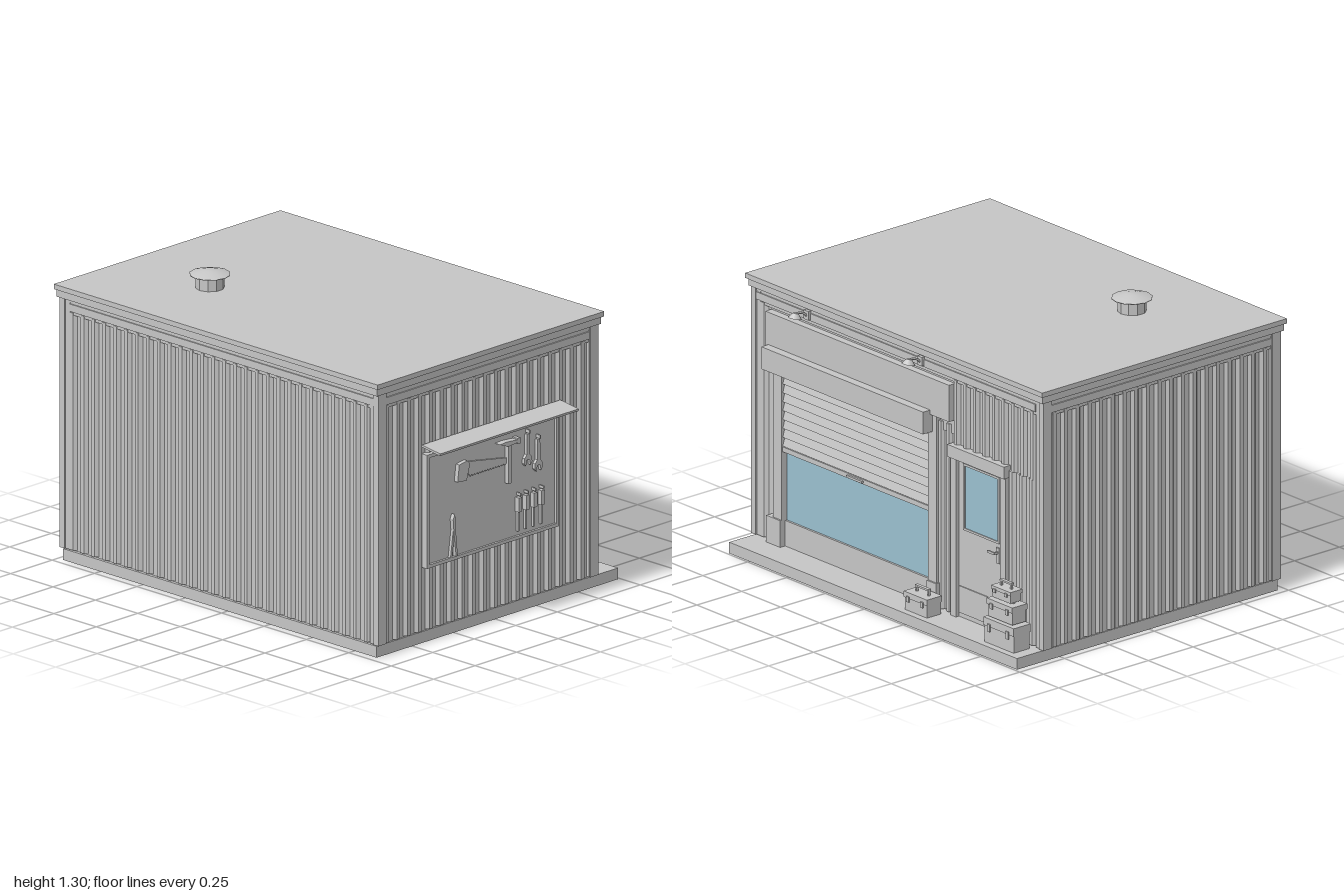
import * as THREE from 'three';

export function createModel() {
  const model = new THREE.Group();
  const grey = new THREE.MeshStandardMaterial({ color: 0xc6c6c6 });
  grey.name = 'light grey';
  const blue = new THREE.MeshStandardMaterial({ color: 0x9bc0d0 });
  blue.name = 'glass blue';

  const add = (name, geo, mat = grey, parent = model) => {
    const m = new THREE.Mesh(geo, mat);
    m.name = name;
    parent.add(m);
    return m;
  };
  // Box given by its bounds
  const box = (name, x0, x1, y0, y1, z0, z1, mat = grey, parent = model) => {
    const m = add(name, new THREE.BoxGeometry(x1 - x0, y1 - y0, z1 - z0), mat, parent);
    m.position.set((x0 + x1) / 2, (y0 + y1) / 2, (z0 + z1) / 2);
    return m;
  };
  const group = (name) => {
    const g = new THREE.Group();
    g.name = name;
    model.add(g);
    return g;
  };

  // Corrugated sheet, ribs facing -z before it is turned by angle
  const sheet = (name, length, y0, y1, x, z, angle) => {
    const n = Math.max(1, Math.round(length / 0.064));
    const p = length / n;
    const shape = new THREE.Shape();
    shape.moveTo(-length / 2, -0.012);
    for (let i = 0; i < n; i++) {
      const u = -length / 2 + i * p;
      [[0, 0], [0.3, 0], [0.5, 0.014], [0.8, 0.014]].forEach(([t, d]) => shape.lineTo(u + t * p, d));
    }
    shape.lineTo(length / 2, 0);
    shape.lineTo(length / 2, -0.012);
    const geo = new THREE.ExtrudeGeometry(shape, { depth: y1 - y0, bevelEnabled: false });
    geo.rotateX(-Math.PI / 2).rotateY(angle);
    add(name, geo).position.set(x, y0, z);
  };

  // Base, core and roof
  box('base', -0.97, 0.88, 0, 0.05, -0.74, 0.715);
  box('core', -0.965, 0.872, 0.05, 1.18, -0.575, 0.7);
  box('friezeBoard', -0.978, 0.888, 1.155, 1.175, -0.6, 0.715);
  box('cornice', -0.99, 0.9, 1.17, 1.203, -0.615, 0.733);
  box('roofSlab', -1, 0.91, 1.203, 1.225, -0.625, 0.74);

  // Corrugated walls
  sheet('frontWall', 1.8, 0.055, 1.11, -0.045, 0.7, Math.PI);
  sheet('rightWall', 1.24, 0.055, 1.11, 0.874, 0.06, -Math.PI / 2);
  sheet('leftWall', 1.24, 0.055, 1.11, -0.964, 0.06, Math.PI / 2);
  sheet('backWallAboveDoor', 0.55, 0.8, 1.11, -0.665, -0.585, 0);
  sheet('backWallBesideDoor', 0.19, 0.055, 0.8, -0.84, -0.585, 0);
  sheet('backWallMiddle', 0.1, 0.055, 0.9, -0.345, -0.585, 0);
  sheet('backWallEnd', 0.09, 0.055, 1.11, 0.82, -0.585, 0);

  // Corner posts: two overlapping boards each
  for (const [x, sx] of [[-0.985, 1], [0.895, -1]]) {
    for (const [z, sz] of [[0.72, -1], [-0.605, 1]]) {
      const b = (name, w, d, e) => {
        const xa = x + sx * e, xb = x + sx * w, za = z + sz * e, zb = z + sz * d;
        box(name, Math.min(xa, xb), Math.max(xa, xb), 0.055, 1.17, Math.min(za, zb), Math.max(za, zb));
      };
      b('cornerPost', 0.03, 0.048, 0);
      b('cornerTrim', 0.055, 0.05, 0.006);
    }
  }

  // Horizontal beams under the cornice
  for (const [y0, y1, d] of [[1.1, 1.16, 0], [1.115, 1.148, 0.006]]) {
    box('frontBeam', -0.93, 0.87, y0, y1, 0.69, 0.712 + d);
    box('backBeam', -0.93, 0.87, y0, y1, -0.597 - d, -0.57);
    box('rightBeam', 0.86, 0.887 + d, y0, y1, -0.555, 0.675);
    box('leftBeam', -0.977 - d, -0.95, y0, y1, -0.555, 0.675);
  }

  // Chimney
  const stem = add('chimneyStem', new THREE.CylinderGeometry(0.062, 0.062, 0.065, 10).toNonIndexed());
  stem.geometry.computeVertexNormals();
  stem.position.set(-0.5, 1.255, 0.31);
  add('chimneyCap', new THREE.LatheGeometry(
    [[0, 0], [0.088, 0], [0.088, 0.004], [0.03, 0.02], [0, 0.021]].map(([r, y]) => new THREE.Vector2(r, y)), 12))
    .position.set(-0.5, 1.283, 0.31);

  // Shop window with half-lowered roller shutter
  const shop = group('shopWindow');
  box('wallBehindSign', -0.4, 0.78, 0.86, 1.11, -0.59, -0.57, grey, shop);
  box('windowGlass', -0.26, 0.69, 0.16, 0.87, -0.582, -0.576, blue, shop);
  box('windowSill', -0.28, 0.71, 0.05, 0.165, -0.592, -0.57, grey, shop);
  box('leftJamb', 0.69, 0.745, 0.05, 0.92, -0.612, -0.57, grey, shop);
  box('rightJamb', -0.305, -0.25, 0.05, 0.92, -0.612, -0.57, grey, shop);
  box('leftPlinth', 0.69, 0.78, 0.05, 0.17, -0.62, -0.57, grey, shop);
  box('rightPlinth', -0.31, -0.25, 0.05, 0.17, -0.62, -0.57, grey, shop);
  const slats = 9, shutterBottom = 0.5, slatStep = 0.04;
  box('shutterBacking', -0.25, 0.69, shutterBottom, 0.87, -0.59, -0.582, grey, shop);
  for (let i = 0; i < slats; i++) {
    const y = shutterBottom + i * slatStep;
    box('shutterSlat', -0.25, 0.69, y, y + slatStep, -0.6, -0.588, grey, shop).rotation.x = 0.3;
  }
  box('shutterBottomRail', -0.25, 0.69, 0.478, 0.5, -0.607, -0.582, grey, shop);
  box('shutterHandle', 0.17, 0.27, 0.484, 0.494, -0.617, -0.605, grey, shop);
  box('shutterHousing', -0.28, 0.76, 0.845, 0.945, -0.665, -0.58, grey, shop);
  box('signBoard', -0.4, 0.78, 0.925, 1.09, -0.625, -0.585, grey, shop);

  // Door
  const door = group('door');
  box('doorPanel', -0.71, -0.42, 0.05, 0.78, -0.59, -0.57, grey, door);
  box('doorGlass', -0.68, -0.47, 0.46, 0.74, -0.594, -0.588, blue, door);
  for (const [x0, x1, y0, y1] of [[-0.69, -0.68, 0.45, 0.75], [-0.47, -0.46, 0.45, 0.75],
    [-0.69, -0.46, 0.45, 0.46], [-0.69, -0.46, 0.74, 0.75]])
    box('doorGlassTrim', x0, x1, y0, y1, -0.598, -0.588, grey, door);
  box('doorFrameLeft', -0.425, -0.39, 0.05, 0.77, -0.608, -0.57, grey, door);
  box('doorFrameRight', -0.745, -0.71, 0.05, 0.77, -0.608, -0.57, grey, door);
  box('doorLintel', -0.75, -0.385, 0.765, 0.82, -0.622, -0.57, grey, door);
  box('kickPlate', -0.7, -0.43, 0.07, 0.19, -0.595, -0.588, grey, door);
  box('handlePlate', -0.69, -0.67, 0.36, 0.43, -0.597, -0.588, grey, door);
  box('handleLever', -0.685, -0.64, 0.405, 0.415, -0.62, -0.612, grey, door);
  box('handleStem', -0.685, -0.677, 0.405, 0.415, -0.62, -0.59, grey, door);

  // Sign lamps on curved arms
  for (const x of [-0.2, 0.53]) {
    const lamp = group('signLamp');
    lamp.position.set(x, 0, 0);
    box('lampMount', -0.015, 0.015, 1.12, 1.16, -0.615, -0.6, grey, lamp);
    const arm = new THREE.QuadraticBezierCurve3(
      new THREE.Vector3(0, 1.135, -0.61), new THREE.Vector3(0, 1.165, -0.635), new THREE.Vector3(0, 1.16, -0.67));
    add('lampArm', new THREE.TubeGeometry(arm, 6, 0.005, 6), grey, lamp);
    const shade = add('lampShade', new THREE.CylinderGeometry(0.012, 0.03, 0.022, 12), grey, lamp);
    shade.position.set(0, 1.152, -0.675);
    shade.rotation.x = 0.25;
  }

  // Toolboxes, three stacked and one by the window
  const toolbox = (x, y, z, w, h, d, handle) => {
    const g = group('toolbox');
    g.position.set(x, y, z);
    const split = h * 0.68;
    box('toolboxBody', -w / 2 + 0.004, w / 2 - 0.004, 0, split, -d / 2 + 0.004, d / 2 - 0.004, grey, g);
    box('toolboxLid', -w / 2, w / 2, split, h, -d / 2, d / 2, grey, g);
    for (const s of [-1, 1])
      box('latch', s * w * 0.3 - 0.008, s * w * 0.3 + 0.008, h * 0.5, h * 0.8, -d / 2 - 0.006, -d / 2, grey, g);
    for (const s of [-1, 1])
      box('handlePost', s * w * 0.26 - 0.004, s * w * 0.26 + 0.004, h, h + handle, -0.005, 0.005, grey, g);
    box('handleGrip', -w * 0.26 - 0.004, w * 0.26 + 0.004, h + handle - 0.008, h + handle, -0.008, 0.008, grey, g);
  };
  toolbox(-0.82, 0.05, -0.665, 0.195, 0.112, 0.095, 0.008);
  toolbox(-0.82, 0.17, -0.665, 0.165, 0.08, 0.085, 0.01);
  toolbox(-0.82, 0.26, -0.667, 0.125, 0.052, 0.068, 0.028);
  toolbox(-0.285, 0.05, -0.67, 0.15, 0.083, 0.085, 0.03);

  // Tool display on the side wall with a sloping canopy
  const display = group('toolDisplay');
  box('displayBoard', 0.87, 0.897, 0.345, 0.83, -0.345, 0.43, grey, display);
  for (const [y0, y1, z0, z1] of [[0.335, 0.35, -0.355, 0.44], [0.825, 0.84, -0.355, 0.44],
    [0.335, 0.84, 0.425, 0.44], [0.335, 0.84, -0.355, -0.34]])
    box('displayFrame', 0.87, 0.908, y0, y1, z0, z1, grey, display);
  const canopy = box('canopy', 0.89, 1.0, 0.869, 0.879, -0.38, 0.455, grey, display);
  canopy.rotation.z = -0.13;

  // Flat tools: first coordinate runs towards -z, second is height
  const tool = (name, pts, depth = 0.014) => {
    const geo = new THREE.ExtrudeGeometry(new THREE.Shape(pts.map(([u, y]) => new THREE.Vector2(u, y))),
      { depth, bevelEnabled: false });
    add(name, geo.rotateY(Math.PI / 2), grey, display).position.x = 0.897;
  };
  const rect = (name, u0, u1, y0, y1, depth) => tool(name, [[u0, y0], [u1, y0], [u1, y1], [u0, y1]], depth);

  // Saw
  tool('sawHandle', [[-0.265, 0.68], [-0.21, 0.675], [-0.2, 0.71], [-0.19, 0.745], [-0.205, 0.762], [-0.255, 0.755]], 0.02);
  const blade = [[0.05, 0.69], [0.05, 0.712], [-0.19, 0.752], [-0.2, 0.71], [-0.18, 0.69]];
  for (let i = 0; i < 14; i++) blade.push([-0.175 + i * 0.016, 0.682], [-0.167 + i * 0.016, 0.69]);
  tool('sawBlade', blade, 0.008);

  // Hammer
  rect('hammerHandle', 0.04, 0.056, 0.6, 0.78, 0.022);
  tool('hammerHead', [[-0.02, 0.79], [0.03, 0.77], [0.085, 0.775], [0.085, 0.768], [0.104, 0.768],
    [0.104, 0.794], [0.085, 0.794], [0.085, 0.788], [0.02, 0.793]], 0.03);

  // Spanners
  for (const [u, y] of [[0.167, 0.65], [0.23, 0.612]]) {
    const half = [[0.008, 0.025], [0.014, 0], [0.024, 0.012], [0.022, 0.035], [0.009, 0.05], [0.009, 0.12], [0.007, 0.14]];
    tool('spanner', [...half.map(([a, b]) => [u + a, y + b]), ...half.slice().reverse().map(([a, b]) => [u - a, y + b])]);
    rect('spannerHook', u - 0.003, u + 0.003, y + 0.145, y + 0.16, 0.025);
  }

  // Screwdrivers
  for (const u of [0.112, 0.157, 0.203, 0.249]) {
    rect('screwdriverHandle', u - 0.01, u + 0.01, 0.458, 0.522, 0.022);
    rect('screwdriverShaft', u - 0.004, u + 0.004, 0.37, 0.458, 0.012);
    rect('screwdriverHook', u - 0.003, u + 0.003, 0.53, 0.542, 0.025);
  }

  // Pliers
  tool('pliersLeftArm', [[-0.302, 0.352], [-0.292, 0.352], [-0.277, 0.45], [-0.27, 0.52], [-0.278, 0.54], [-0.288, 0.45]]);
  tool('pliersRightArm', [[-0.262, 0.352], [-0.272, 0.45], [-0.28, 0.54], [-0.29, 0.52], [-0.284, 0.45], [-0.272, 0.352]].reverse(), 0.018);

  return model;
}
